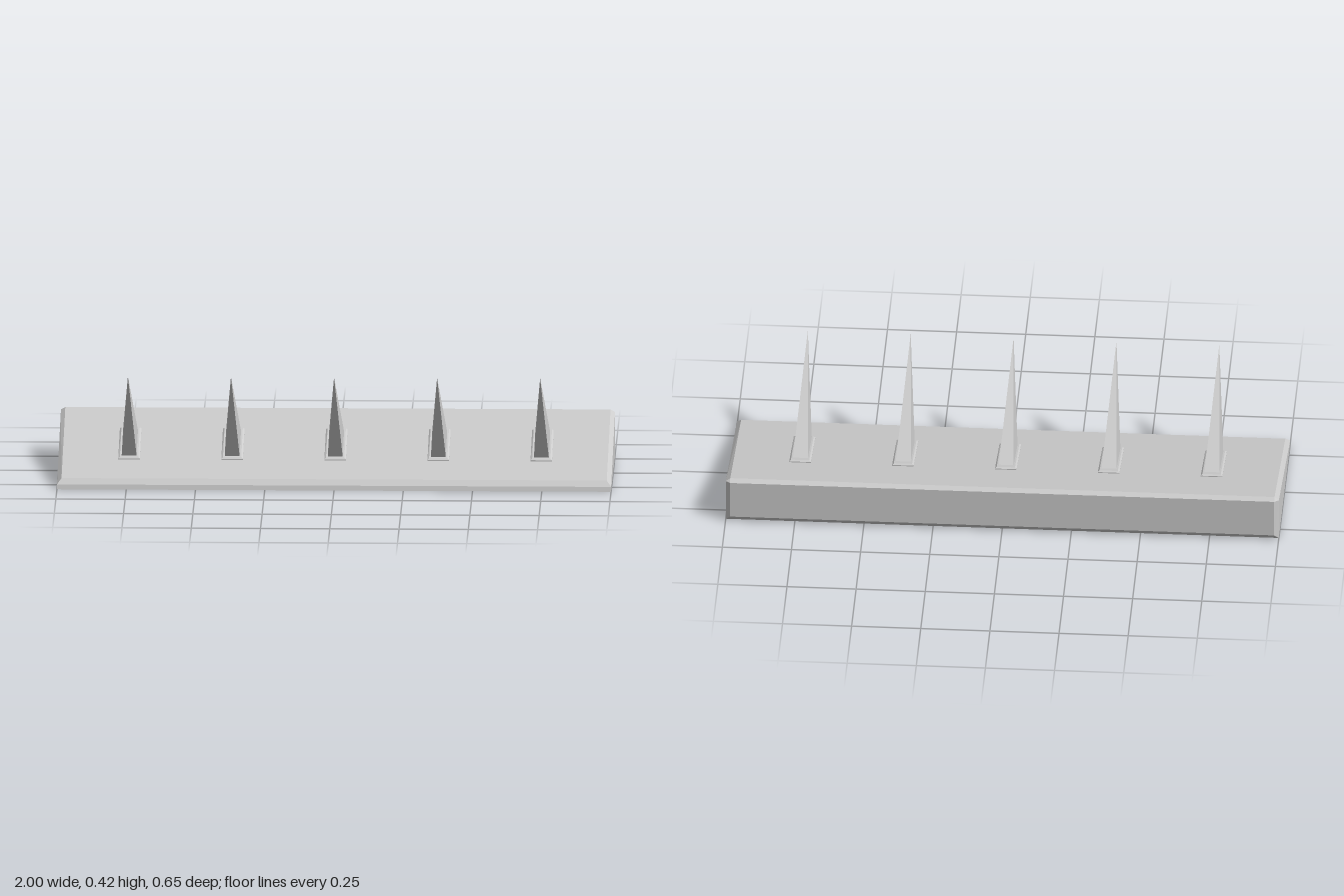
import * as THREE from 'three';
import { ConvexGeometry } from 'three/addons/geometries/ConvexGeometry.js';

const material = new THREE.MeshStandardMaterial({ color: 0xcccccc, flatShading: true });

// Convex solid from [half width, z, y] rows, each mirrored across x
function mirroredSolid(name, rows) {
  const points = rows.flatMap(([w, z, y]) =>
    w === 0 ? [new THREE.Vector3(0, y, z)]
      : [new THREE.Vector3(w, y, z), new THREE.Vector3(-w, y, z)]);
  const mesh = new THREE.Mesh(new ConvexGeometry(points), material);
  mesh.name = name;
  return mesh;
}

export function createModel() {
  const model = new THREE.Group();
  model.name = 'spikedRamp';

  // Wedge base with chamfered top, back and end edges
  model.add(mirroredSolid('wedgeBase', [
    [1, 0.328, 0], [1, 0.323, 0.017], [1, -0.308, 0.161], [1, -0.308, 0],
    [0.984, 0.303, 0.036], [0.984, -0.303, 0.171],
    [0.984, -0.32, 0.161], [0.984, -0.327, 0.022],
  ]));

  // Row of forward-leaning spikes, each on a chamfered pad
  for (let i = -2; i <= 2; i++) {
    const unit = new THREE.Group();
    unit.name = 'spikeUnit';
    unit.position.x = i * 0.372;
    unit.add(mirroredSolid('spikePad', [
      [0.039, 0.142, 0.07], [0.039, -0.117, 0.128],
      [0.039, 0.142, 0.076], [0.039, -0.117, 0.133],
      [0.033, 0.136, 0.081], [0.033, -0.111, 0.137],
    ]));
    unit.add(mirroredSolid('spike', [
      [0.027, 0.127, 0.082], [0.027, -0.09, 0.131], [0, 0.323, 0.417],
    ]));
    model.add(unit);
  }
  return model;
}
